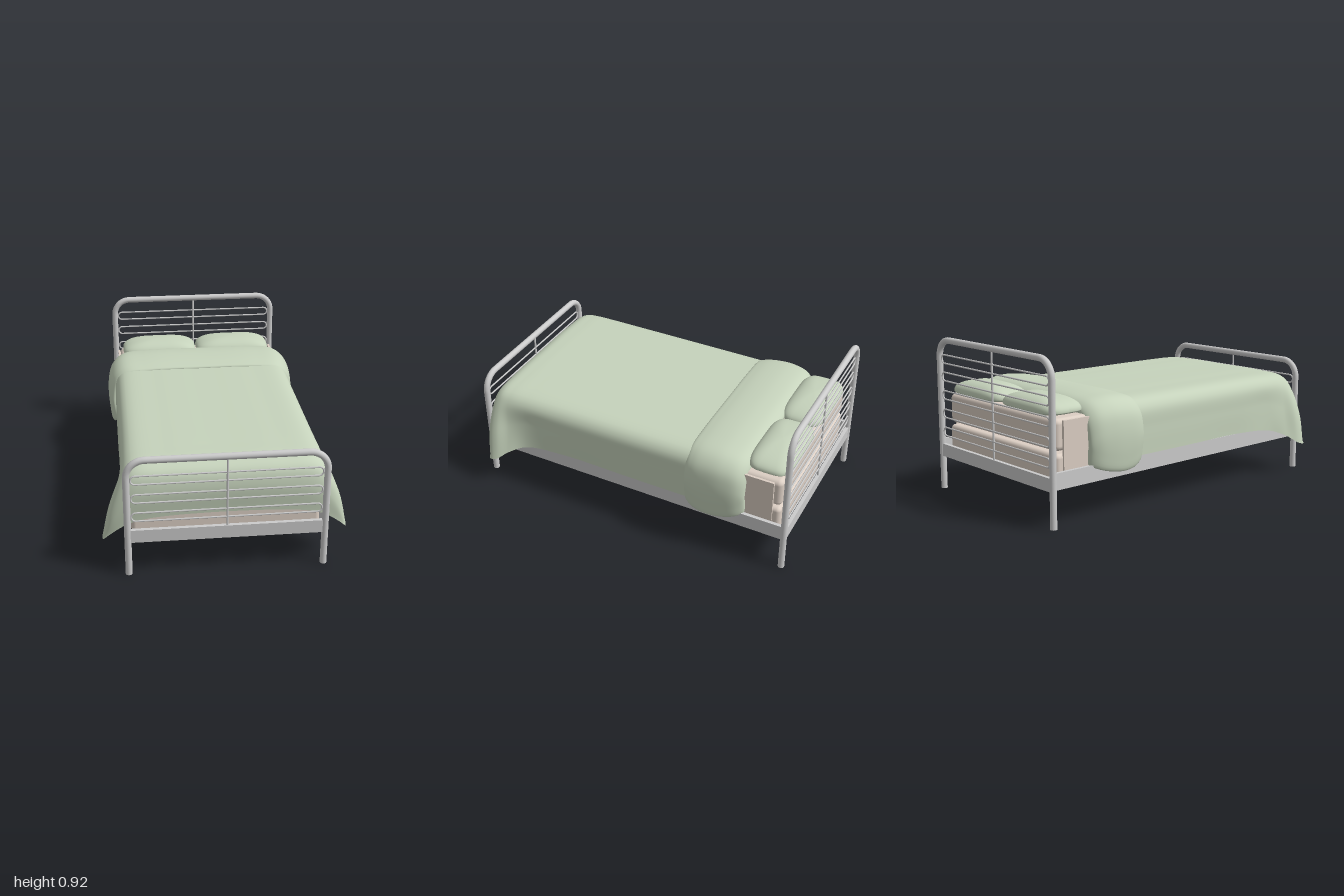
import * as THREE from 'three';
import { RoundedBoxGeometry } from 'three/addons/geometries/RoundedBoxGeometry.js';

const metal = new THREE.MeshStandardMaterial({ color: 0xcccccc });
const linen = new THREE.MeshStandardMaterial({ color: 0xdccfc4, side: THREE.DoubleSide });
const quilt = new THREE.MeshStandardMaterial({ color: 0xc6d3bc, side: THREE.DoubleSide });
const V = (x, y, z = 0) => new THREE.Vector3(x, y, z);

function add(parent, name, geometry, material, x = 0, y = 0, z = 0) {
  const mesh = new THREE.Mesh(geometry, material);
  mesh.name = name;
  mesh.position.set(x, y, z);
  parent.add(mesh);
  return mesh;
}

// Smooth mirrored surface through rows of [x, y, z] control points, each row going from the middle to the left hem
function loft(rows, nu, nv) {
  const sections = rows.map(row => {
    const half = row.map(p => V(...p));
    const mirrored = half.slice(1).reverse().map(p => V(-p.x, p.y, p.z));
    return new THREE.CatmullRomCurve3([...mirrored, ...half]).getPoints(nu);
  });
  const pos = [], index = [];
  for (let i = 0; i <= nu; i++) {
    const along = new THREE.CatmullRomCurve3(sections.map(s => s[i]));
    for (const p of along.getPoints(nv)) pos.push(p.x, p.y, p.z);
  }
  for (let i = 0; i < nu; i++) for (let j = 0; j < nv; j++) {
    const a = i * (nv + 1) + j, b = a + nv + 1;
    index.push(a, a + 1, b, b, a + 1, b + 1);
  }
  const g = new THREE.BufferGeometry();
  g.setAttribute('position', new THREE.Float32BufferAttribute(pos, 3));
  g.setIndex(index);
  g.computeVertexNormals();
  return g;
}

// Bent tube hoop with vertical post, looped rungs and bottom rail
function endFrame(name, height, rungs, z) {
  const group = new THREE.Group();
  group.name = name;
  group.position.z = z;
  const r = 0.019, x = 0.537, top = height - r, bend = 0.1;
  const path = new THREE.CurvePath();
  path.add(new THREE.LineCurve3(V(-x, 0), V(-x, top - bend)));
  const corner = (cx, from) => {
    const pts = [];
    for (let i = 0; i <= 12; i++) {
      const a = from - i / 12 * Math.PI / 2;
      pts.push(V(cx + bend * Math.cos(a), top - bend + bend * Math.sin(a)));
    }
    for (let i = 0; i < 12; i++) path.add(new THREE.LineCurve3(pts[i], pts[i + 1]));
  };
  corner(-x + bend, Math.PI);
  path.add(new THREE.LineCurve3(V(-x + bend, top), V(x - bend, top)));
  corner(x - bend, Math.PI / 2);
  path.add(new THREE.LineCurve3(V(x, top - bend), V(x, 0)));
  add(group, 'hoop', new THREE.TubeGeometry(path, 200, r, 16), metal);
  for (const s of [-1, 1])
    add(group, 'footCap', new THREE.CylinderGeometry(r, r, 0.004, 16), metal, s * x, 0.002, 0);

  add(group, 'centrePost', new THREE.CylinderGeometry(0.006, 0.006, top - 0.27, 10), metal, 0, (top + 0.27) / 2, 0);
  add(group, 'bottomRail', new THREE.BoxGeometry(1.05, 0.075, 0.022), metal, 0, 0.238, 0);

  // Each rung is two thin bars joined by half rings
  const gap = 0.025, t = 0.005, end = 0.49;
  for (const y of rungs) {
    for (const s of [-1, 1]) {
      add(group, 'rungBar', new THREE.CylinderGeometry(t, t, 2 * end, 8), metal, 0, y + s * gap, 0).rotation.z = Math.PI / 2;
      add(group, 'rungEnd', new THREE.TorusGeometry(gap, t, 8, 16, Math.PI), metal, s * end, y, 0).rotation.z = -s * Math.PI / 2;
    }
  }
  return group;
}

// Rounded cushion with a flatter underside
function pillowGeometry(hx, up, down, hz) {
  const g = new THREE.SphereGeometry(1, 40, 28);
  const p = g.attributes.position;
  const power = (v, e) => Math.sign(v) * Math.abs(v) ** e;
  for (let i = 0; i < p.count; i++) {
    const x = p.getX(i), y = p.getY(i), z = p.getZ(i);
    const r = Math.hypot(x, z), spread = r ** 0.9;
    const c = r > 1e-6 ? x / r : 0, s = r > 1e-6 ? z / r : 0;
    p.setXYZ(i, hx * spread * power(c, 0.5), power(y, 0.9) * (y > 0 ? up : down), hz * spread * power(s, 0.5));
  }
  g.computeVertexNormals();
  return g;
}

export function createModel() {
  const bed = new THREE.Group();
  bed.name = 'bed';

  // Metal frame
  bed.add(endFrame('headboard', 0.92, [0.352, 0.462, 0.573, 0.683, 0.787], -0.98));
  bed.add(endFrame('footboard', 0.71, [0.352, 0.462, 0.573], 0.98));
  for (const s of [-1, 1])
    add(bed, 'sideRail', new THREE.BoxGeometry(0.02, 0.092, 1.94), metal, s * 0.54, 0.258, 0);

  // Base, mattress and the sheet hanging over its sides
  add(bed, 'base', new RoundedBoxGeometry(1.03, 0.185, 1.88, 4, 0.025), linen, 0, 0.297, 0);
  add(bed, 'mattress', new RoundedBoxGeometry(1.02, 0.175, 1.88, 4, 0.03), linen, 0, 0.49, 0);
  for (const s of [-1, 1])
    add(bed, 'sheetSide', new THREE.BoxGeometry(0.014, 0.27, 1.7), linen, s * 0.517, 0.435, -0.045);

  // Pillows
  for (const s of [-1, 1])
    add(bed, 'pillow', pillowGeometry(0.245, 0.073, 0.027, 0.133), quilt, s * 0.247, 0.602, -0.83);

  // Duvet, spreading at the foot into two hanging corners
  const straight = z => [[0, 0.627, z], [0.3, 0.627, z], [0.5, 0.613, z], [0.548, 0.565, z], [0.558, 0.45, z], [0.56, 0.306, z]];
  add(bed, 'duvet', loft([
    straight(-0.42), straight(0), straight(0.45),
    [[0, 0.627, 0.7], [0.3, 0.627, 0.7], [0.5, 0.612, 0.7], [0.55, 0.565, 0.7], [0.562, 0.45, 0.7], [0.577, 0.285, 0.7]],
    [[0, 0.626, 0.82], [0.3, 0.625, 0.82], [0.5, 0.609, 0.82], [0.555, 0.557, 0.82], [0.587, 0.42, 0.81], [0.625, 0.245, 0.8]],
    [[0, 0.617, 0.895], [0.3, 0.616, 0.895], [0.5, 0.598, 0.892], [0.56, 0.54, 0.885], [0.622, 0.4, 0.875], [0.667, 0.2, 0.865]],
    [[0, 0.582, 0.943], [0.3, 0.58, 0.943], [0.49, 0.562, 0.938], [0.56, 0.5, 0.93], [0.628, 0.37, 0.918], [0.674, 0.19, 0.895]],
    [[0, 0.5, 0.966], [0.3, 0.495, 0.966], [0.475, 0.47, 0.962], [0.552, 0.42, 0.953], [0.617, 0.325, 0.94], [0.671, 0.188, 0.91]],
    [[0, 0.343, 0.955], [0.3, 0.337, 0.957], [0.44, 0.322, 0.955], [0.53, 0.295, 0.95], [0.6, 0.25, 0.94], [0.667, 0.19, 0.92]],
  ], 80, 96), quilt);

  // Puffed fold of the duvet at the head: [z, top, half width, hem height]
  const puff = [
    [-0.725, 0.57, 0.515, 0.33], [-0.733, 0.61, 0.55, 0.305], [-0.69, 0.645, 0.582, 0.28], [-0.6, 0.662, 0.599, 0.255],
    [-0.5, 0.66, 0.6, 0.245], [-0.42, 0.648, 0.592, 0.262], [-0.375, 0.632, 0.575, 0.3], [-0.385, 0.6, 0.54, 0.33],
  ];
  add(bed, 'duvetFold', loft(puff.map(([z, top, w, hem]) => [
    [0, top, z], [w - 0.24, top - 0.002, z], [w - 0.09, top - 0.02, z], [w - 0.025, top - 0.08, z],
    [w, top - 0.18, z], [w - 0.004, hem + 0.08, z], [w - 0.022, hem, z], [Math.min(w - 0.03, 0.535), hem + 0.02, z],
  ]), 80, 42), quilt);

  return bed;
}
